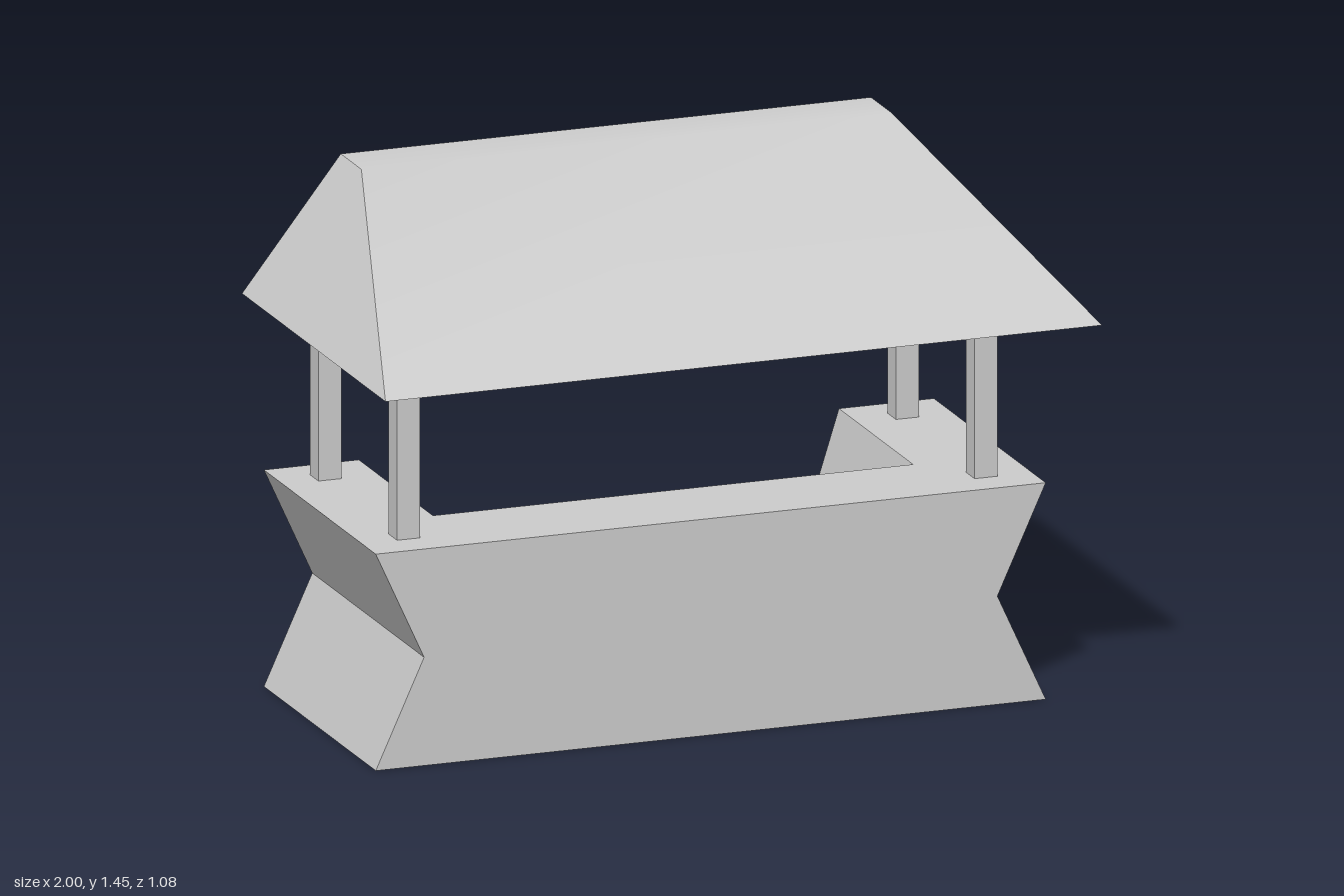
import * as THREE from 'three';
import { toCreasedNormals } from 'three/addons/utils/BufferGeometryUtils.js';
import { ConvexGeometry } from 'three/addons/geometries/ConvexGeometry.js';

const material = new THREE.MeshStandardMaterial({ color: 0xcccccc });
const CREASE = Math.PI / 6;

// Counter and roof dimensions
const TOP = 0.59, MID = TOP / 2;
const FRONT = 0.29, RIM = 0.01, BACK = -0.54;
const EAVES = 1.08, RIDGE = 1.445;

function addMesh(group, name, geometry) {
  const mesh = new THREE.Mesh(geometry, material);
  mesh.name = name;
  group.add(mesh);
  return mesh;
}

// Extrude an outline of [x, y] points from z0 to z1
function prism(points, z0, z1) {
  const shape = new THREE.Shape(points.map(([x, y]) => new THREE.Vector2(x, y)));
  const geometry = new THREE.ExtrudeGeometry(shape, { depth: z1 - z0, bevelEnabled: false });
  return geometry.translate(0, 0, z0);
}

export function createModel() {
  const model = new THREE.Group();
  model.name = 'marketStall';

  // Front of the counter, pinched at half height
  const pinched = [[-0.935, 0], [0.935, 0], [0.8, MID], [0.935, TOP], [-0.935, TOP], [-0.8, MID]];
  addMesh(model, 'counterFront', prism(pinched, RIM, FRONT));

  // Side arms reaching back, both sides bent inwards
  const arm = [[0.67, 0], [0.935, 0], [0.8, MID], [0.935, TOP], [0.67, TOP], [0.577, MID]];
  for (const side of [1, -1]) {
    const outline = arm.map(([x, y]) => [x * side, y]);
    addMesh(model, side > 0 ? 'leftArm' : 'rightArm', prism(outline, BACK, RIM));
  }

  // Lower shelf with a leaning back panel: a z-y profile run along x
  const profile = [[-0.32, 0], [RIM, 0], [RIM, 0.46], [-0.39, 0.46], [-0.375, MID]];
  const shelf = prism(profile, -0.72, 0.72).rotateY(-Math.PI / 2);
  addMesh(model, 'shelf', toCreasedNormals(shelf, CREASE));

  // Four posts
  for (const side of [1, -1]) {
    for (const [name, z] of [['front', 0.158], ['back', -0.425]]) {
      const post = addMesh(model, name + (side > 0 ? 'Left' : 'Right') + 'Post',
        new THREE.BoxGeometry(0.064, EAVES - TOP, 0.064));
      post.position.set(side * 0.806, (TOP + EAVES) / 2, z);
    }
  }

  // Hipped roof with a long front slope and a narrow flat ridge
  const corners = [];
  for (const side of [1, -1]) {
    for (const [x, y, z] of [[1, EAVES, 0.535], [1, EAVES, -0.53], [0.74, RIDGE, -0.335], [0.74, RIDGE, -0.488]]) {
      corners.push(new THREE.Vector3(side * x, y, z));
    }
  }
  addMesh(model, 'roof', toCreasedNormals(new ConvexGeometry(corners), CREASE));

  return model;
}
